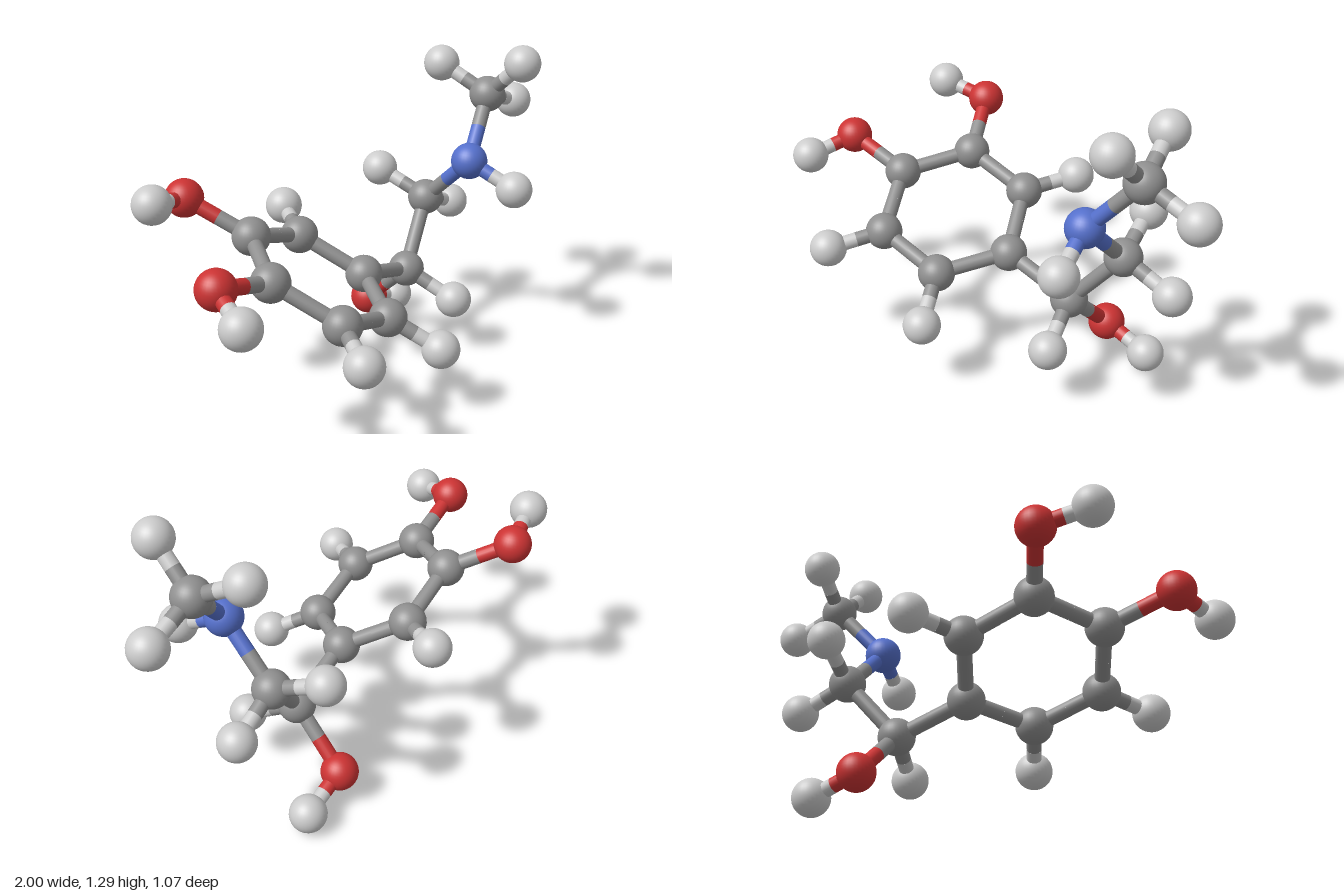
import * as THREE from 'three';

const ATOM_RADIUS = 0.075;
const BOND_RADIUS = 0.03;

// One colour per element
const elements = {
  C: { name: 'carbon', color: 0x909090 },
  H: { name: 'hydrogen', color: 0xcccccc },
  O: { name: 'oxygen', color: 0xcc3333 },
  N: { name: 'nitrogen', color: 0x5570cc },
};

// Element and centre of each atom
const atoms = {
  // six-sided ring
  ring1: ['C', -0.01, 0.45, -0.035],
  ring2: ['C', -0.145, 0.6, -0.26],
  ring3: ['C', -0.43, 0.695, -0.23],
  ring4: ['C', -0.58, 0.638, 0.03],
  ring5: ['C', -0.445, 0.49, 0.255],
  ring6: ['C', -0.16, 0.4, 0.224],
  // side chain
  chain1: ['C', 0.295, 0.355, -0.067],
  chain2: ['C', 0.5, 0.605, -0.135],
  amine: ['N', 0.5, 0.823, 0.093],
  methyl: ['C', 0.7, 1.053, 0.027],
  // oxygens with their hydrogens
  oxygenBack: ['O', -0.565, 0.834, -0.446],
  oxygenSide: ['O', -0.86, 0.725, 0.063],
  oxygenLow: ['O', 0.305, 0.144, -0.295],
  hOxygenBack: ['H', -0.76, 0.88, -0.388],
  hOxygenSide: ['H', -0.925, 0.67, 0.255],
  hOxygenLow: ['H', 0.505, 0.078, -0.308],
  // remaining hydrogens
  hRing2: ['H', -0.036, 0.64, -0.46],
  hRing5: ['H', -0.556, 0.447, 0.46],
  hRing6: ['H', -0.054, 0.283, 0.4],
  hChain1: ['H', 0.37, 0.245, 0.132],
  hChain2Side: ['H', 0.716, 0.514, -0.165],
  hChain2Back: ['H', 0.443, 0.702, -0.347],
  hAmine: ['H', 0.555, 0.728, 0.285],
  hMethylFront: ['H', 0.695, 1.214, 0.2],
  hMethylBack: ['H', 0.64, 1.164, -0.173],
  hMethylSide: ['H', 0.922, 0.974, 0.008],
};

const bonds = [
  ['ring1', 'ring2'], ['ring2', 'ring3'], ['ring3', 'ring4'],
  ['ring4', 'ring5'], ['ring5', 'ring6'], ['ring6', 'ring1'],
  ['ring1', 'chain1'], ['chain1', 'chain2'], ['chain2', 'amine'], ['amine', 'methyl'],
  ['ring3', 'oxygenBack'], ['ring4', 'oxygenSide'], ['chain1', 'oxygenLow'],
  ['oxygenBack', 'hOxygenBack'], ['oxygenSide', 'hOxygenSide'], ['oxygenLow', 'hOxygenLow'],
  ['ring2', 'hRing2'], ['ring5', 'hRing5'], ['ring6', 'hRing6'], ['chain1', 'hChain1'],
  ['chain2', 'hChain2Side'], ['chain2', 'hChain2Back'], ['amine', 'hAmine'],
  ['methyl', 'hMethylFront'], ['methyl', 'hMethylBack'], ['methyl', 'hMethylSide'],
];

export function createModel() {
  const model = new THREE.Group();
  model.name = 'molecule';

  const materials = {};
  for (const [key, { name, color }] of Object.entries(elements)) {
    materials[key] = new THREE.MeshStandardMaterial({ color });
    materials[key].name = name;
  }

  const ball = new THREE.SphereGeometry(ATOM_RADIUS, 32, 20);
  const rod = new THREE.CylinderGeometry(BOND_RADIUS, BOND_RADIUS, 1, 20, 1, true);
  const up = new THREE.Vector3(0, 1, 0);
  const centre = (id) => new THREE.Vector3(...atoms[id].slice(1));

  // Atoms
  for (const [id, [element]] of Object.entries(atoms)) {
    const atom = new THREE.Mesh(ball, materials[element]);
    atom.name = `${id}Atom`;
    atom.position.copy(centre(id));
    model.add(atom);
  }

  // Half a bond, from an atom to the midpoint, in that atom's colour
  function halfBond(from, to) {
    const start = centre(from);
    const middle = start.clone().lerp(centre(to), 0.5);
    const span = middle.clone().sub(start);
    const half = new THREE.Mesh(rod, materials[atoms[from][0]]);
    half.name = `${from}HalfBond`;
    half.position.copy(start).add(middle).multiplyScalar(0.5);
    half.scale.y = span.length();
    half.quaternion.setFromUnitVectors(up, span.normalize());
    return half;
  }

  // Bonds
  for (const [a, b] of bonds) {
    const bond = new THREE.Group();
    bond.name = `${a}To${b[0].toUpperCase()}${b.slice(1)}Bond`;
    bond.add(halfBond(a, b), halfBond(b, a));
    model.add(bond);
  }

  return model;
}
